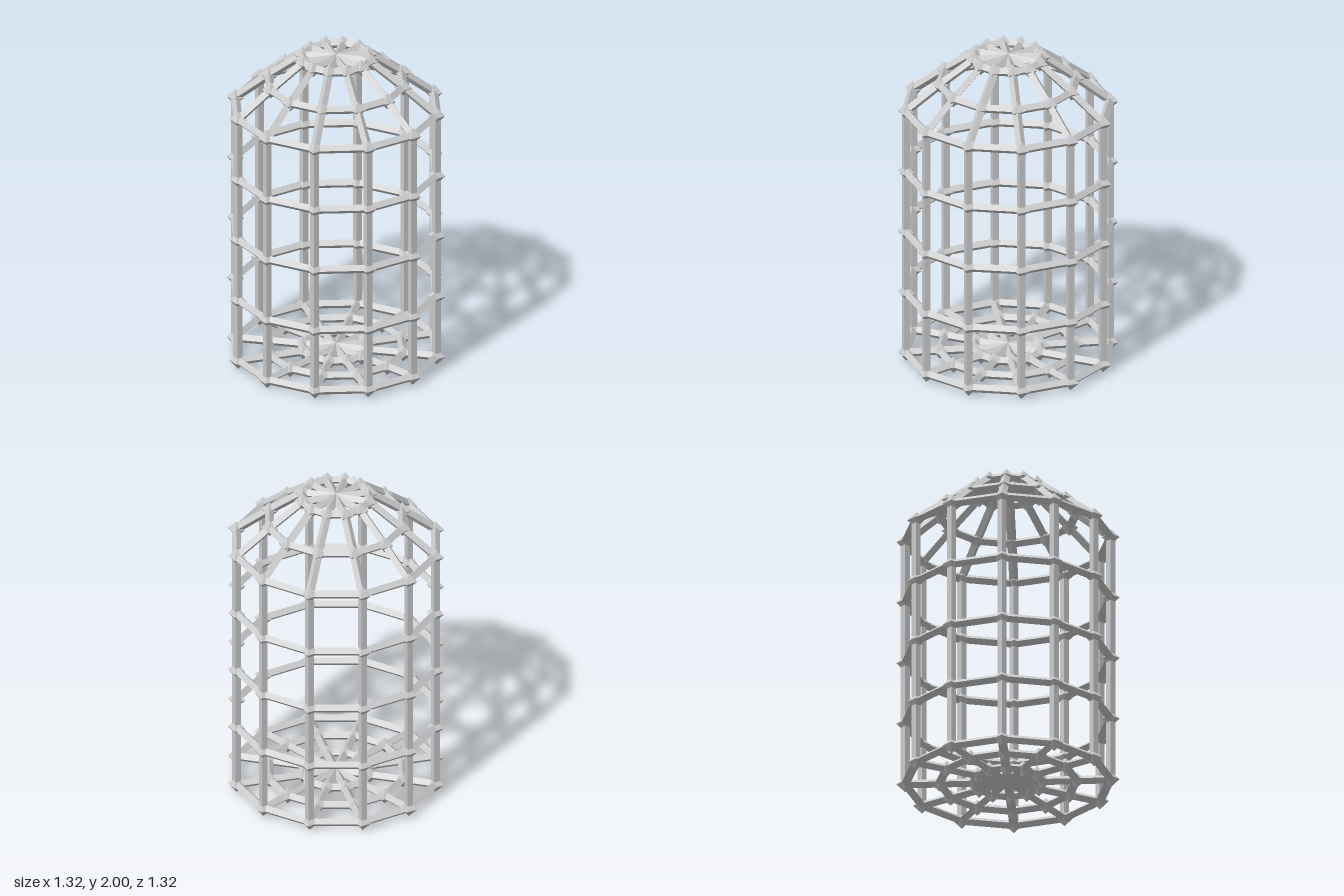
import * as THREE from 'three';

const SIDES = 12;
const BAR = 0.027;   // half diagonal of the square bars
const KNOT = 0.053;  // size of the eight-sided joints
const BOTTOM = 0.053, RIM = 1.632, MID = 1.795, TOP = 1.947;
const R1 = 0.203, R2 = 0.406, R3 = 0.608;

const material = new THREE.MeshStandardMaterial({ color: 0xcccccc, flatShading: true });
const UP = new THREE.Vector3(0, 1, 0);

function point(radius, y, i) {
  const a = (i / SIDES) * Math.PI * 2;
  return new THREE.Vector3(Math.sin(a) * radius, y, Math.cos(a) * radius);
}

// Square bar between two points, with one long edge facing upward
function bar(name, a, b) {
  const dir = b.clone().sub(a);
  const length = dir.length();
  dir.normalize();
  const mesh = new THREE.Mesh(new THREE.CylinderGeometry(BAR, BAR, length, 4), material);
  mesh.name = name;
  if (Math.abs(dir.y) < 0.999) {
    const ridge = UP.clone().addScaledVector(dir, -dir.y).normalize();
    const side = dir.clone().cross(ridge);
    mesh.quaternion.setFromRotationMatrix(new THREE.Matrix4().makeBasis(side, dir, ridge));
  }
  mesh.position.copy(a).add(b).multiplyScalar(0.5);
  return mesh;
}

// Twelve-sided hoop with a joint at every corner
function hoop(name, radius, y) {
  const group = new THREE.Group();
  group.name = name;
  for (let i = 0; i < SIDES; i++) {
    const p = point(radius, y, i);
    group.add(bar('hoopBar', p, point(radius, y, i + 1)));
    const joint = new THREE.Mesh(new THREE.OctahedronGeometry(KNOT), material);
    joint.name = 'joint';
    joint.position.copy(p);
    group.add(joint);
  }
  return group;
}

// One bar per side, running from one hoop to the next
function bars(name, rA, yA, rB, yB) {
  const group = new THREE.Group();
  group.name = name;
  for (let i = 0; i < SIDES; i++) group.add(bar('bar', point(rA, yA, i), point(rB, yB, i)));
  return group;
}

export function createModel() {
  const cage = new THREE.Group();
  cage.name = 'cage';

  // Wall: five hoops joined by upright bars
  for (let k = 0; k < 5; k++) {
    cage.add(hoop('wallHoop', R3, BOTTOM + ((RIM - BOTTOM) * k) / 4));
  }
  cage.add(bars('uprights', R3, BOTTOM, R3, RIM));

  // Floor: flat web of hoops and spokes
  cage.add(hoop('floorHoop', R1, BOTTOM), hoop('floorHoop', R2, BOTTOM));
  cage.add(bars('floorSpokes', 0, BOTTOM, R3, BOTTOM));

  // Roof: sloping bars up to a flat spoked cap
  cage.add(hoop('roofHoop', R2, MID), hoop('capHoop', R1, TOP));
  cage.add(bars('lowerRoofBars', R3, RIM, R2, MID));
  cage.add(bars('upperRoofBars', R2, MID, R1, TOP));
  cage.add(bars('capSpokes', 0, TOP, R1, TOP));

  return cage;
}
